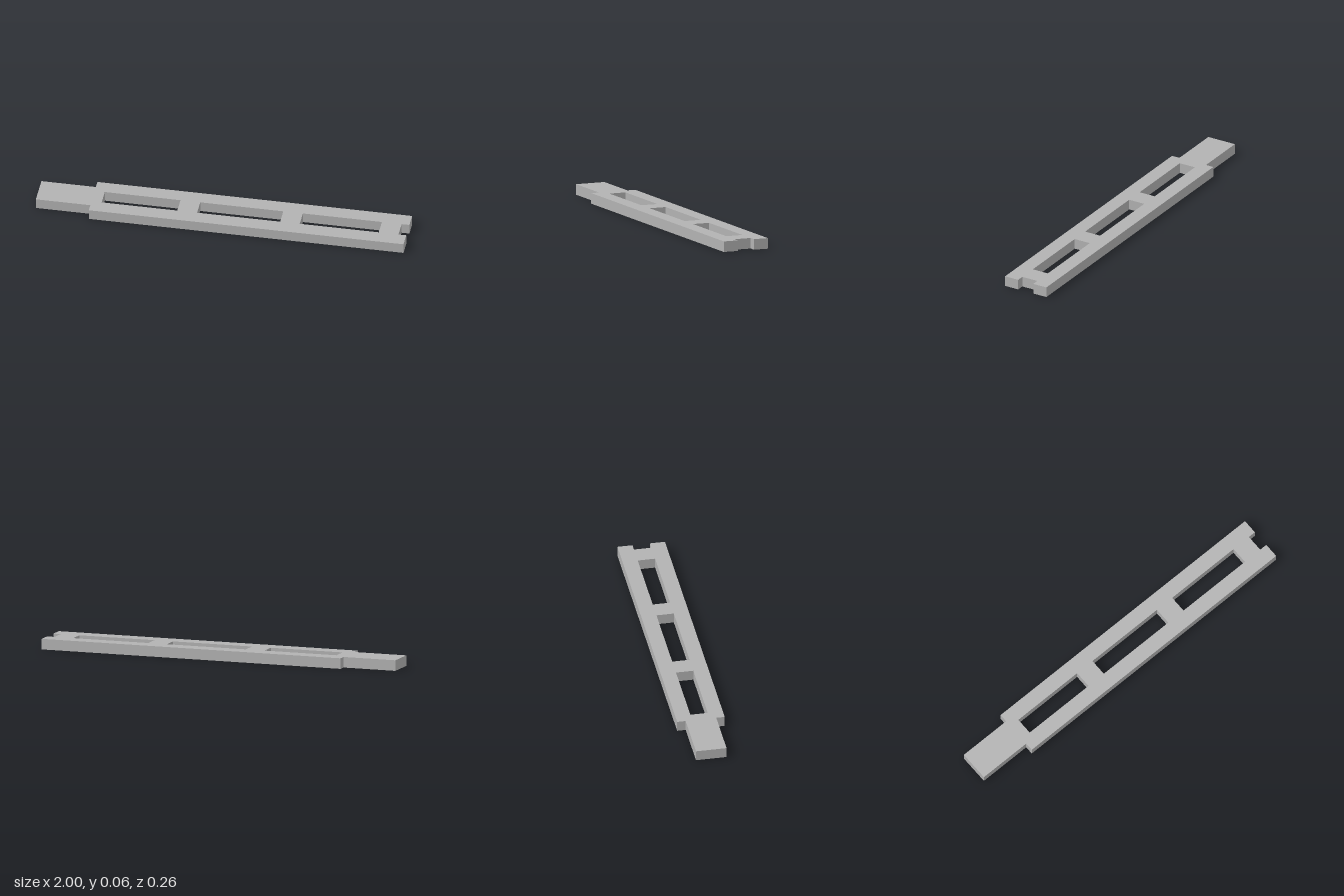
import * as THREE from 'three';

const HEIGHT = 0.057;
const BODY = 0.129;   // half widths
const TONGUE = 0.083;
const SLOT = 0.047;

export function createModel() {
  const grey = new THREE.MeshStandardMaterial({ color: 0xb2b2b2 });
  grey.name = 'grey';

  // Half outline, mirrored across the long axis: tongue, shoulder, body, end notch
  const half = [
    [-1, TONGUE], [-0.705, TONGUE], [-0.705, BODY],
    [1, BODY], [1, SLOT], [0.958, SLOT],
  ];
  const outline = [
    ...half.map(([x, y]) => new THREE.Vector2(x, -y)),
    ...half.map(([x, y]) => new THREE.Vector2(x, y)).reverse(),
  ];
  const shape = new THREE.Shape(outline);

  // Three long rectangular slots through the body
  for (const [a, b] of [[-0.65, -0.24], [-0.133, 0.317], [0.423, 0.851]]) {
    shape.holes.push(new THREE.Path([
      new THREE.Vector2(a, -SLOT), new THREE.Vector2(a, SLOT),
      new THREE.Vector2(b, SLOT), new THREE.Vector2(b, -SLOT),
    ]));
  }

  const geometry = new THREE.ExtrudeGeometry(shape, { depth: HEIGHT, bevelEnabled: false });
  geometry.rotateX(-Math.PI / 2); // lay flat, standing on y = 0

  const bar = new THREE.Mesh(geometry, grey);
  bar.name = 'slottedBar';
  const model = new THREE.Group();
  model.name = 'slottedConnectorBar';
  model.add(bar);
  return model;
}
